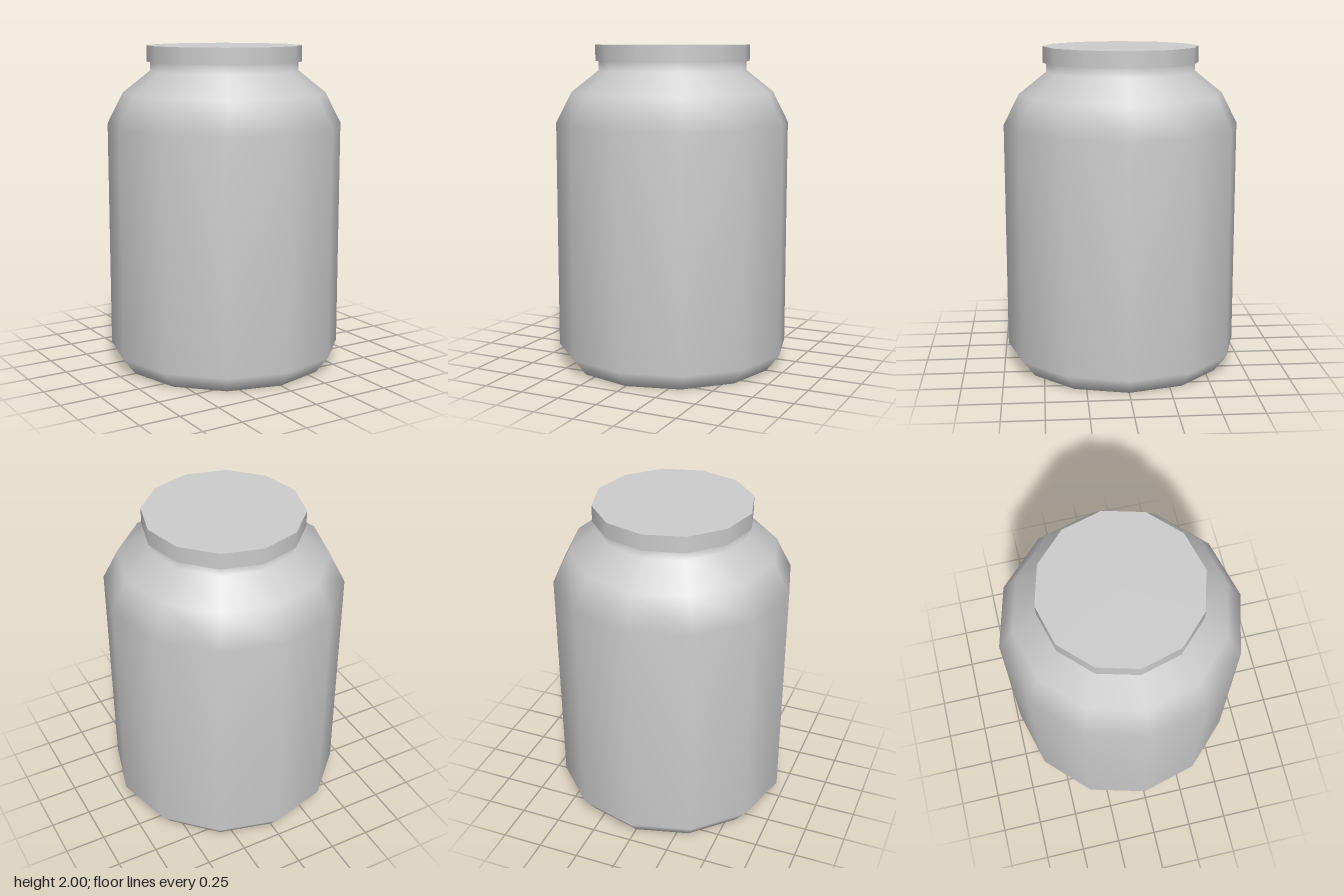
import * as THREE from 'three';

const SIDES = 12;

export function createModel() {
  const group = new THREE.Group();
  const material = new THREE.MeshStandardMaterial({ color: 0xcccccc });

  // Jar: smooth-shaded profile from the base centre up to the neck
  const profile = [
    [0, 0], [0.645, 0], [0.727, 0.105], [0.727, 1.52],
    [0.63, 1.71], [0.46, 1.845], [0.46, 1.91],
  ].map(([r, y]) => new THREE.Vector2(r, y));
  const jar = new THREE.Mesh(new THREE.LatheGeometry(profile, SIDES), material);
  jar.name = 'jarBody';
  group.add(jar);

  // Lid: slightly wider than the neck, with a flat top and underside
  const lid = new THREE.Mesh(new THREE.CylinderGeometry(0.48, 0.48, 0.1, SIDES), material);
  lid.name = 'lid';
  lid.position.y = 1.95;
  group.add(lid);

  return group;
}
